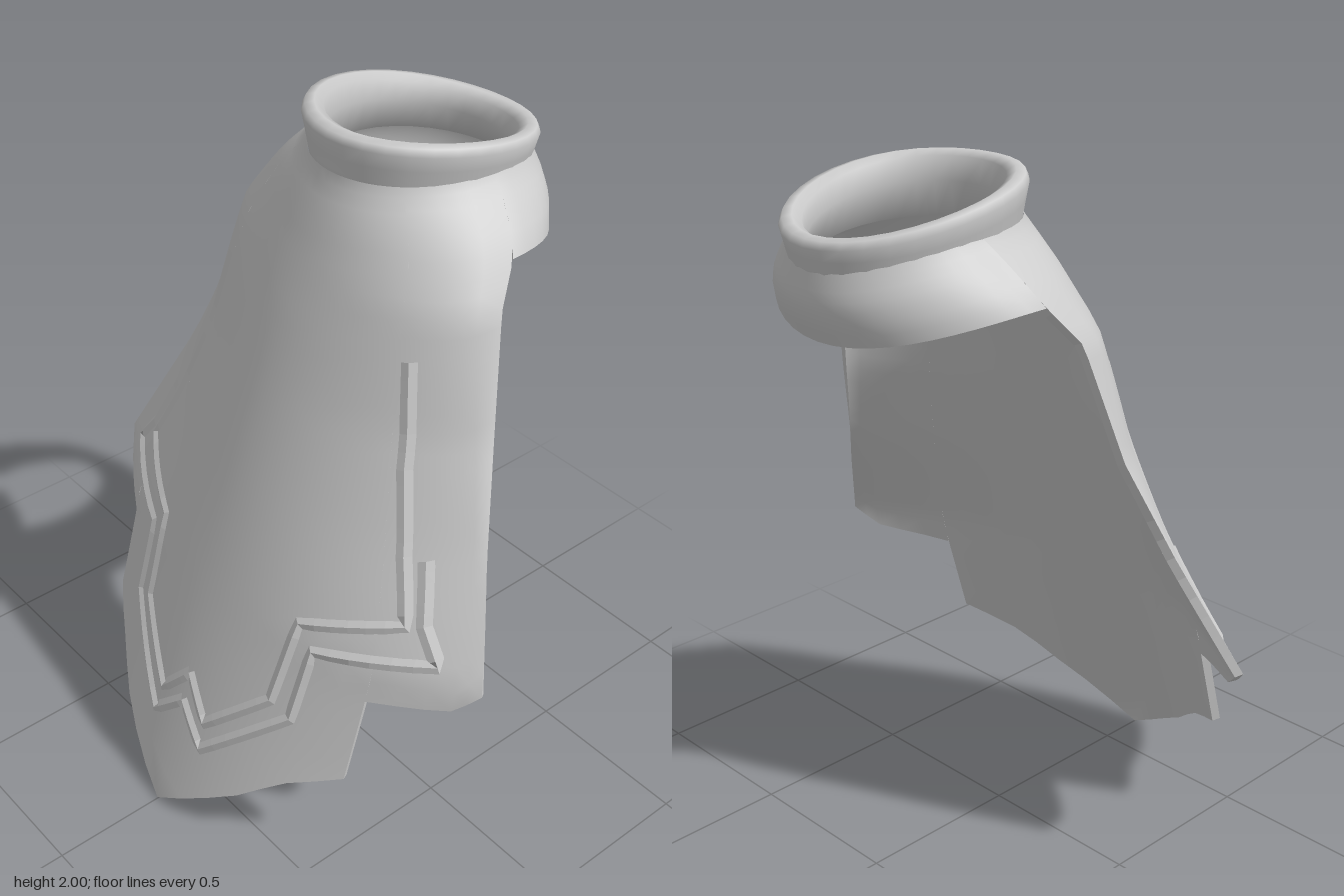
import * as THREE from 'three';

const cloth = new THREE.MeshStandardMaterial({ color: 0xcccccc });
cloth.name = 'pale grey cloth';
const lerp = THREE.MathUtils.lerp;
const V = (x, y, z) => new THREE.Vector3(x, y, z);

// Linear lookup of a column in rows sorted by their first value
function look(rows, k, col) {
  if (k <= rows[0][0]) return rows[0][col];
  for (let i = 1; i < rows.length; i++) {
    const a = rows[i - 1], b = rows[i];
    if (k <= b[0]) return lerp(a[col], b[col], (k - a[0]) / (b[0] - a[0]));
  }
  return rows[rows.length - 1][col];
}

// Horizontal sections: height, half width, z of the widest point, z at front, z at back
const SECTIONS = [
  [0, 0.8, 0.30, 0.66, 0], [0.345, 0.8, 0.20, 0.54, 0], [0.6, 0.8, 0.145, 0.45, 0],
  [0.7, 0.8, 0.13, 0.415, 0], [1.03, 0.66, 0.0, 0.30, 0], [1.3, 0.56, -0.10, 0.205, -0.6],
  [1.5, 0.51, -0.15, 0.135, -0.6], [1.62, 0.48, -0.18, 0.09, -0.6], [1.72, 0.43, -0.26, 0.052, -0.63],
  [1.78, 0.385, -0.29, 0.03, -0.66], [1.83, 0.335, -0.31, 0.008, -0.66], [1.88, 0.278, -0.33, -0.012, -0.645],
];
const halfWidth = (y) => look(SECTIONS, y, 1);

// Point on the garment; phi = 0 is the front, PI the back
function surface(phi, y) {
  const c = Math.cos(phi), zc = look(SECTIONS, y, 2);
  const x = halfWidth(y) * Math.sin(phi);
  if (c >= 0) {
    const round = THREE.MathUtils.smoothstep(y, 0.9, 1.8);
    return V(x, y, zc + (look(SECTIONS, y, 3) - zc) * lerp(c * c, c, round));
  }
  const drop = lerp(0.1, 0.065, THREE.MathUtils.clamp((y - 1.72) / 0.16, 0, 1));
  return V(x, y - drop * c * c, zc - (look(SECTIONS, y, 4) - zc) * c);
}

function normalAt(phi, y) {
  let p = phi;
  if (Math.cos(phi) > -1e-6) p = phi * 0.96;
  const du = surface(p + 0.04, y).sub(surface(p - 0.04, y));
  const dv = surface(p, y + 0.04).sub(surface(p, y - 0.04));
  const n = du.cross(dv).normalize(), at = surface(p, y);
  return n.x * at.x + n.z * (at.z + 0.33) < 0 ? n.negate() : n;
}

// Collects quads and turns each to face along its given normals
class Skin {
  pos = []; nor = [];
  quad(p, n) {
    const tri = (i, j, k) => {
      const g = p[j].clone().sub(p[i]).cross(p[k].clone().sub(p[i]));
      const order = g.dot(n[i].clone().add(n[j]).add(n[k])) < 0 ? [i, k, j] : [i, j, k];
      for (const q of order) { this.pos.push(...p[q].toArray()); this.nor.push(...n[q].toArray()); }
    };
    tri(0, 1, 2); tri(0, 2, 3);
  }
  mesh(name) {
    const g = new THREE.BufferGeometry();
    g.setAttribute('position', new THREE.Float32BufferAttribute(this.pos, 3));
    g.setAttribute('normal', new THREE.Float32BufferAttribute(this.nor, 3));
    const m = new THREE.Mesh(g, cloth);
    m.name = name;
    return m;
  }
}

// Thick panel: columns are [phi, hem height], all hanging from the neck
function panel(name, columns, rows, thick = 0.024) {
  const grid = columns.map(([phi, hem]) => Array.from({ length: rows + 1 }, (_, j) => {
    const y = lerp(1.88, hem, Math.pow(j / rows, 1.3));
    const n = normalAt(phi, y), p = surface(phi, y);
    return { p, n, q: p.clone().addScaledVector(n, -thick), m: n.clone().negate() };
  }));
  const skin = new Skin(), last = grid.length - 1;
  const rim = (a, b, inside) => {
    const out = b.p.clone().sub(a.p).cross(a.n).normalize();
    if (out.dot(a.p.clone().sub(inside.p)) < 0) out.negate();
    skin.quad([a.p, b.p, b.q, a.q], [out, out, out, out]);
  };
  for (let i = 0; i < last; i++) {
    for (let j = 0; j < rows; j++) {
      const c = [grid[i][j], grid[i + 1][j], grid[i + 1][j + 1], grid[i][j + 1]];
      skin.quad(c.map((v) => v.p), c.map((v) => v.n));
      skin.quad(c.map((v) => v.q), c.map((v) => v.m));
    }
    rim(grid[i][rows], grid[i + 1][rows], grid[i][rows - 1]);
  }
  for (let j = 0; j < rows; j++) {
    rim(grid[0][j], grid[0][j + 1], grid[1][j]);
    rim(grid[last][j], grid[last][j + 1], grid[last - 1][j]);
  }
  return skin.mesh(name);
}

// Standing collar: a closed ring profile, lower at the back
function collar() {
  const profile = [[0.27, 0.312, 1.85], [0.277, 0.318, 1.885], [0.287, 0.324, 1.93], [0.296, 0.332, 1.975],
    [0.287, 0.323, 1.995], [0.263, 0.297, 2.0], [0.24, 0.272, 1.985], [0.23, 0.26, 1.92], [0.245, 0.28, 1.82]];
  const N = 32, pos = [], idx = [], R = profile.length;
  for (let i = 0; i < N; i++) {
    const a = (i / N) * Math.PI * 2, back = ((1 - Math.cos(a)) / 2) ** 1.6;
    for (const [rx, rz, y] of profile) {
      const drop = lerp(0.065, 0.11, THREE.MathUtils.clamp((y - 1.85) / 0.12, 0, 1));
      pos.push(rx * Math.sin(a), y - drop * back, -0.332 + rz * Math.cos(a));
    }
    const n = (i + 1) % N;
    for (let j = 0; j < R; j++) {
      const k = (j + 1) % R;
      const a0 = i * R + j, a1 = i * R + k, b0 = n * R + j, b1 = n * R + k;
      idx.push(a0, b0, b1, a0, b1, a1);
    }
  }
  const g = new THREE.BufferGeometry();
  g.setAttribute('position', new THREE.Float32BufferAttribute(pos, 3));
  g.setIndex(idx);
  g.computeVertexNormals();
  const m = new THREE.Mesh(g, cloth);
  m.name = 'collar';
  return m;
}

// Raised piping that follows a front-view path over the cloth
function piping(name, path, side, width = 0.036) {
  const pts = [];
  path.forEach(([x, y], i) => {
    if (i) for (let k = 1; k <= 6; k++) {
      pts.push(new THREE.Vector2(lerp(path[i - 1][0], x, k / 6), lerp(path[i - 1][1], y, k / 6)));
    } else pts.push(new THREE.Vector2(x, y));
  });
  const place = (x, y, h) => {
    const phi = Math.asin(THREE.MathUtils.clamp(x / halfWidth(y), -1, 1));
    const p = surface(phi, y).addScaledVector(normalAt(phi, y), h);
    return V(p.x * side, p.y, p.z);
  };
  const rows = pts.map((p, i) => {
    const a = pts[Math.max(i - 1, 0)], b = pts[Math.min(i + 1, pts.length - 1)];
    const d = b.clone().sub(a).normalize();
    return [-1, 0, 1].map((s) => place(Math.max(0, p.x - d.y * s * width / 2), p.y + d.x * s * width / 2, s ? 0 : 0.008));
  });
  const skin = new Skin();
  for (let i = 0; i + 1 < rows.length; i++) for (const s of [0, 1]) {
    const p = [rows[i][s], rows[i][s + 1], rows[i + 1][s + 1], rows[i + 1][s]];
    const n = p[2].clone().sub(p[0]).cross(p[3].clone().sub(p[1])).normalize();
    if (n.z < 0) n.negate();
    skin.quad(p, [n, n, n, n]);
  }
  return skin.mesh(name);
}

export function createModel() {
  const model = new THREE.Group();
  model.name = 'collared cape';
  const column = ([x, y]) => [Math.asin(x / 0.8), y];
  const flip = ([phi, y]) => [-phi, y];

  // Pointed front panel and the shorter panels beside it
  const hem = [[0, 0], [0.09, 0.055], [0.18, 0.112], [0.27, 0.17], [0.335, 0.225], [0.4, 0.275], [0.47, 0.31], [0.54, 0.345]].map(column);
  model.add(panel('frontPanel', [...hem.slice(1).reverse().map(flip), ...hem], 26));
  const wing = [[0.54, 0.6], [0.61, 0.612], [0.68, 0.623], [0.74, 0.636], [0.77, 0.665], [0.8, 0.7]].map(column);
  model.add(panel('leftSidePanel', wing, 26), panel('rightSidePanel', wing.map(flip), 26));

  // Short yoke round the back of the neck
  const yoke = Array.from({ length: 25 }, (_, i) => [Math.PI * (0.5 + i / 24), 1.72]);
  model.add(panel('backYoke', yoke, 8), collar());

  // Two rows of piping along the hem
  const inner = [[0.37, 1.5], [0.43, 1.22], [0.5, 1.0], [0.57, 0.83], [0.31, 0.75], [0.29, 0.5], [0.1, 0.32], [0, 0.43]];
  const outer = [[0.55, 1.0], [0.61, 0.84], [0.68, 0.75], [0.37, 0.69], [0.36, 0.47], [0.11, 0.24], [0, 0.34]];
  for (const [side, label] of [[1, 'left'], [-1, 'right']]) {
    model.add(piping(label + 'InnerPiping', inner, side), piping(label + 'OuterPiping', outer, side));
  }
  return model;
}
